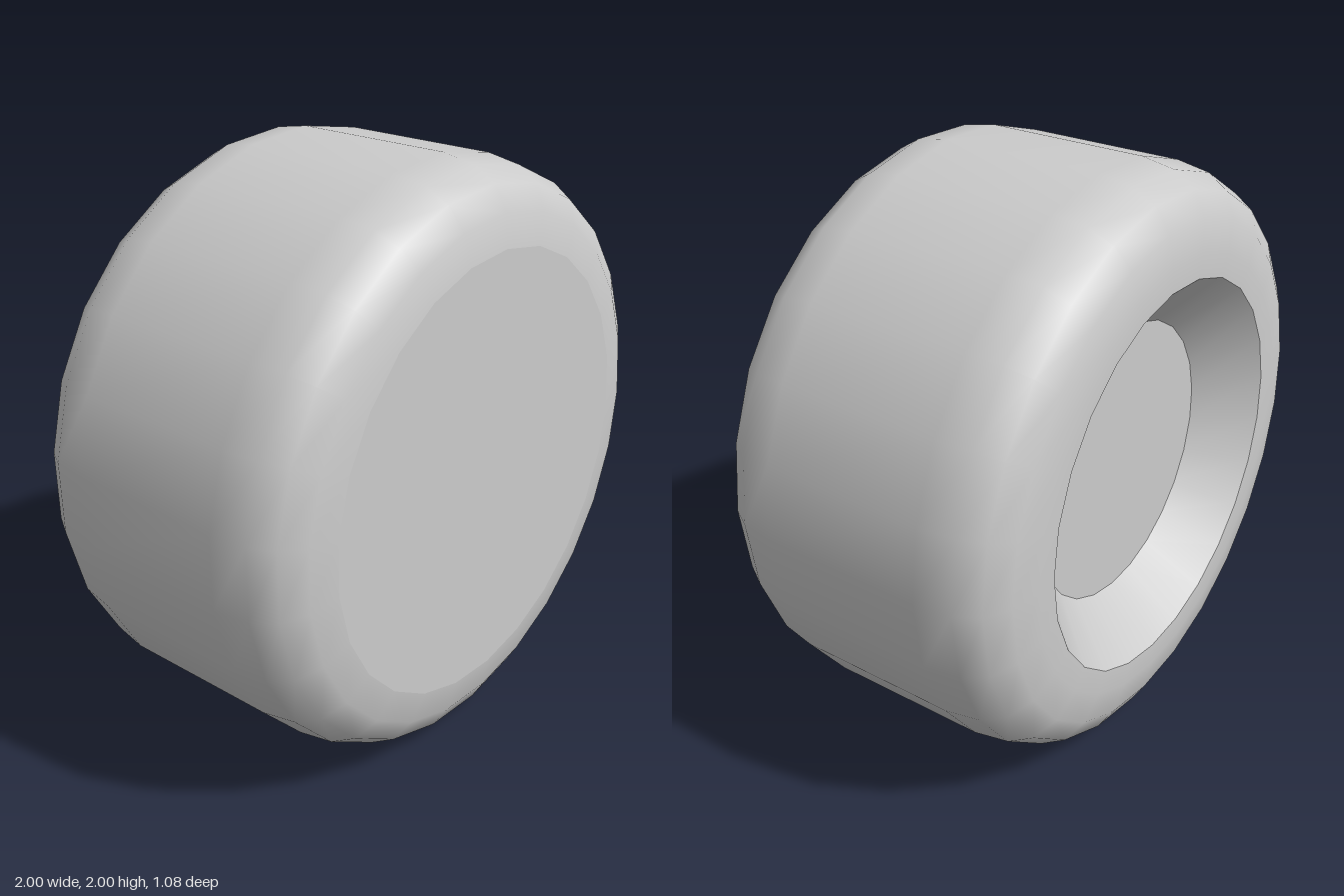
import * as THREE from 'three';

const SIDES = 25;
const material = new THREE.MeshStandardMaterial({ color: 0xcccccc });

// Revolve [radius, z] points around the z axis, starting at +x.
function revolve(name, points) {
  const profile = points.map(([r, z]) => new THREE.Vector2(r, z));
  const geometry = new THREE.LatheGeometry(profile, SIDES, Math.PI / 2);
  geometry.rotateX(Math.PI / 2);
  const mesh = new THREE.Mesh(geometry, material);
  mesh.name = name;
  return mesh;
}

export function createModel() {
  const wheel = new THREE.Group();
  wheel.name = 'wheel';

  // Rounded shoulder, from the tread out to the side face
  const shoulder = [[1.002, 0.28], [0.982, 0.4], [0.937, 0.477], [0.857, 0.524], [0.75, 0.54]];
  const backShoulder = shoulder.map(([r, z]) => [r, -z]).reverse();

  // Separate surfaces keep the edges between them sharp
  wheel.add(
    revolve('tyre', [[0.67, -0.54], ...backShoulder, ...shoulder]),
    revolve('frontFace', [[0.75, 0.54], [0, 0.54]]),
    revolve('recessWall', [[0.485, -0.36], [0.67, -0.54]]),
    revolve('recessFloor', [[0, -0.36], [0.485, -0.36]])
  );

  // An odd number of sides is slightly off centre in x
  wheel.position.set(-0.004, 1, 0);
  const model = new THREE.Group();
  model.name = 'wheelModel';
  model.add(wheel);
  return model;
}
